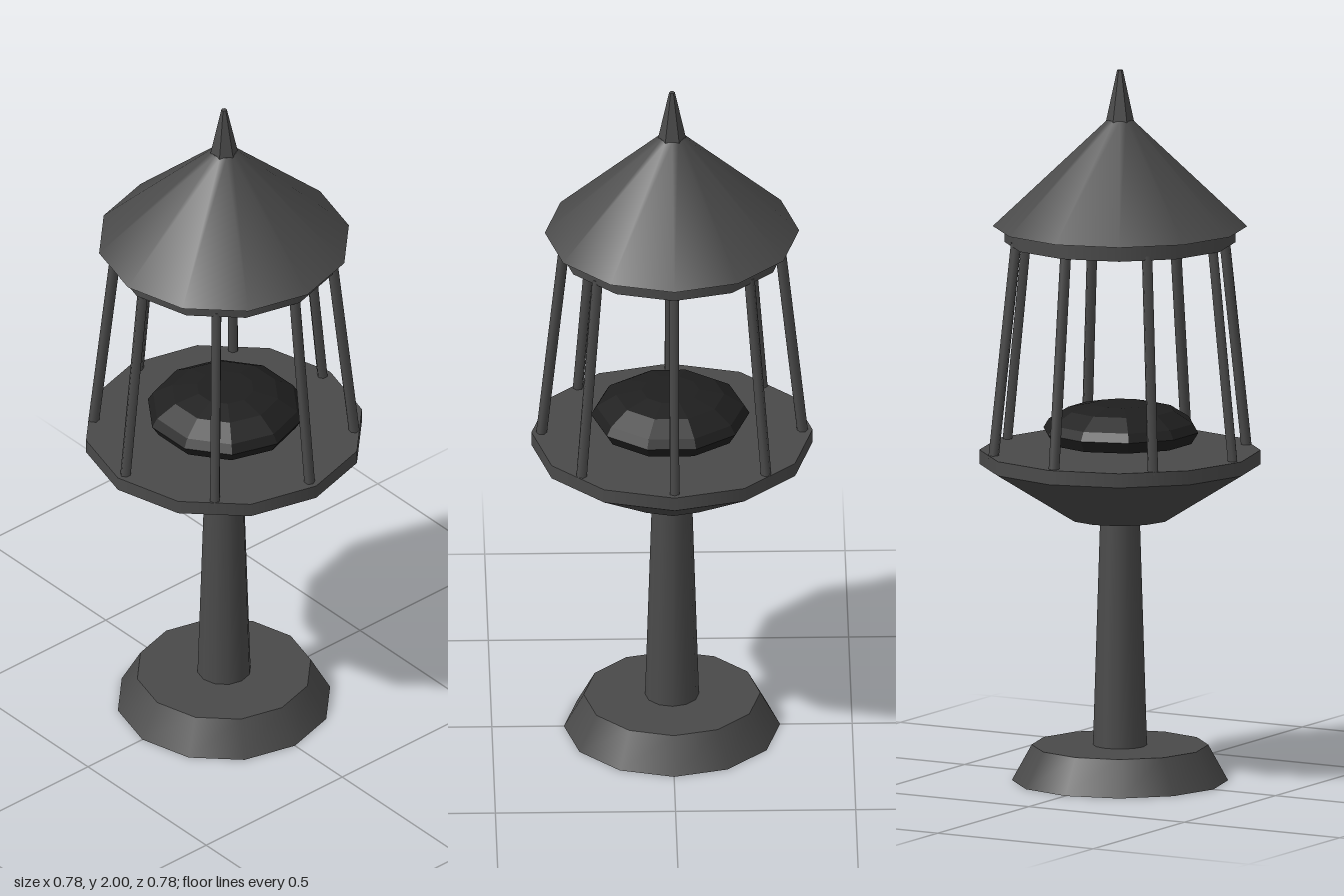
import * as THREE from 'three';

export function createModel() {
  const model = new THREE.Group();
  const iron = new THREE.MeshStandardMaterial({ color: 0x4a4a4a });
  iron.name = 'darkIron';
  const coal = new THREE.MeshStandardMaterial({ color: 0x1f1f1f });
  coal.name = 'coalBlack';

  const add = (name, geometry, material = iron) => {
    const mesh = new THREE.Mesh(geometry, material);
    mesh.name = name;
    model.add(mesh);
    return mesh;
  };
  // Upright tapered cylinder between two heights
  const taper = (name, y0, r0, y1, r1, sides = 12) => {
    const mesh = add(name, new THREE.CylinderGeometry(r1, r0, y1 - y0, sides));
    mesh.position.y = (y0 + y1) / 2;
    return mesh;
  };

  // Foot and post
  taper('base', 0, 0.3, 0.1, 0.245);
  taper('post', 0.1, 0.075, 0.74, 0.055);

  // Tray: flared bowl with a straight rim
  taper('bowl', 0.74, 0.145, 0.89, 0.39);
  taper('bowlRim', 0.89, 0.39, 0.93, 0.39);

  // Low mound of coal hovering just above the tray
  const profile = [[0, 0.953], [0.2, 0.953], [0.22, 0.985], [0.205, 1.01], [0.15, 1.045], [0.08, 1.06], [0, 1.06]]
    .map(([r, y]) => new THREE.Vector2(r, y));
  const moundGeometry = new THREE.LatheGeometry(profile, 10).toNonIndexed();
  moundGeometry.computeVertexNormals();
  add('coalMound', moundGeometry, coal).position.z = 0.005;

  // Eight bars leaning inwards
  const up = new THREE.Vector3(0, 1, 0);
  for (let i = 0; i < 8; i++) {
    const a = (i * Math.PI) / 4;
    const at = (r, y) => new THREE.Vector3(Math.sin(a) * r, y, Math.cos(a) * r);
    const foot = at(0.363, 0.92), head = at(0.298, 1.525);
    const dir = head.clone().sub(foot);
    const bar = add('cageBar', new THREE.CylinderGeometry(0.015, 0.015, dir.length(), 6));
    bar.position.copy(foot).add(head).multiplyScalar(0.5);
    // Lean the bar, keeping one corner facing outwards
    bar.quaternion.setFromUnitVectors(up, dir.normalize())
      .multiply(new THREE.Quaternion().setFromAxisAngle(up, a));
  }

  // Roof ring, cone and finial
  taper('roofRing', 1.515, 0.32, 1.56, 0.32);
  taper('roof', 1.56, 0.353, 1.86, 0.035);
  const finial = taper('finial', 1.855, 0.039, 2, 0.008, 6);
  finial.geometry = finial.geometry.toNonIndexed();
  finial.geometry.computeVertexNormals();

  return model;
}
